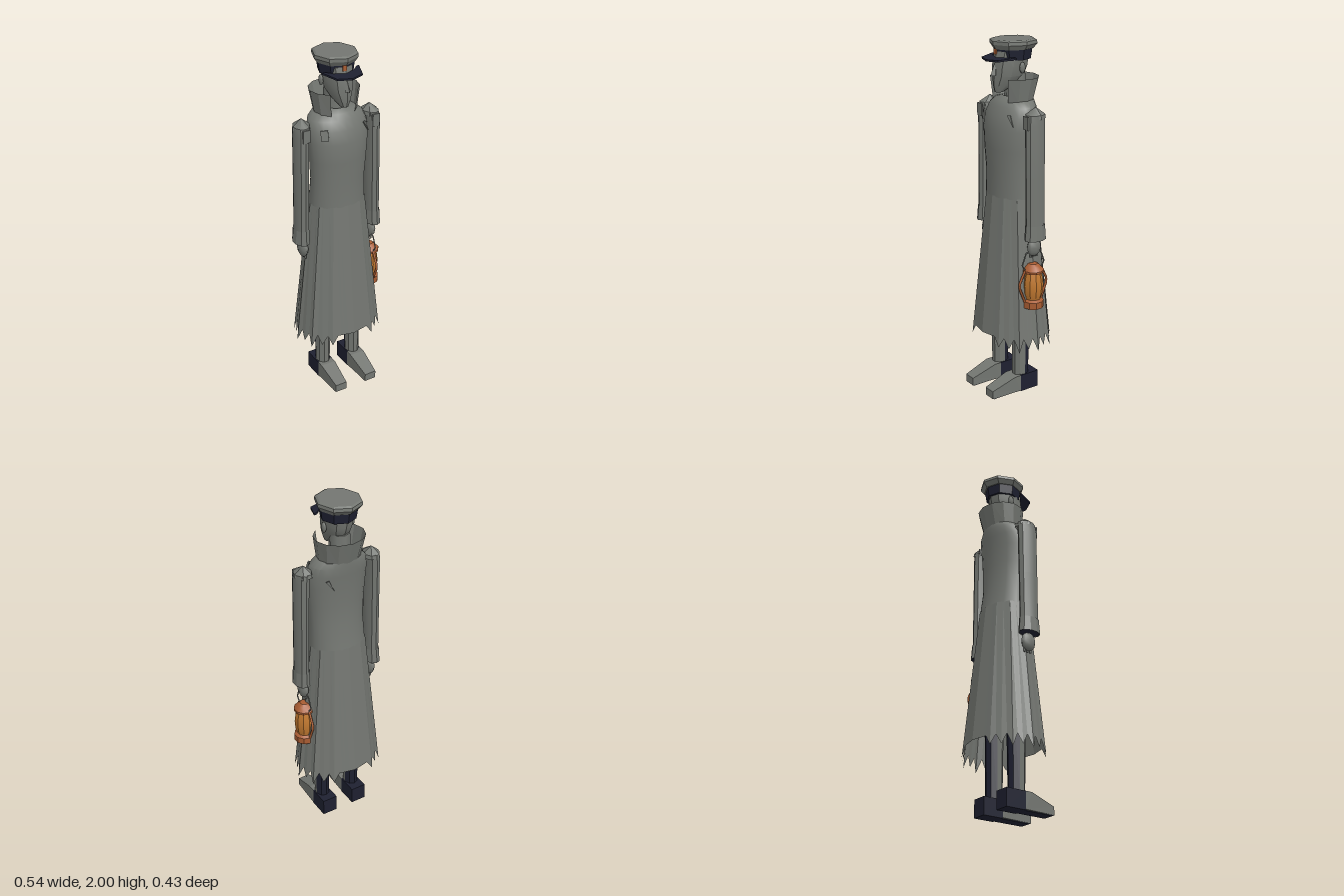
import * as THREE from 'three';
import { toCreasedNormals } from 'three/addons/utils/BufferGeometryUtils.js';

const material = (name, color) => {
  const m = new THREE.MeshStandardMaterial({ color, side: THREE.DoubleSide });
  m.name = name;
  return m;
};

// Skin over rings [y, halfWidth, zFront, zBack, xCentre]; angle 0 faces the front.
function loft(rings, { n = 8, sub = 1, from = 0, arc = Math.PI * 2, cap = false, crease = 0.02, edit } = {}) {
  if (cap) {
    const tip = ([y, , f, b, x]) => [y, 0, (f + b) / 2, (f + b) / 2, x];
    rings = [tip(rings[0]), ...rings, tip(rings[rings.length - 1])];
  }
  const pos = [], index = [], count = n * sub;
  rings.forEach(([y, rx, f, b, cx = 0], r) => {
    const corner = k => {
      const t = from + arc * k / n;
      return new THREE.Vector3(cx + rx * Math.sin(t), y, (f + b) / 2 + (f - b) / 2 * Math.cos(t));
    };
    for (let i = 0; i <= count; i++) {
      const k = Math.floor(i / sub);
      const p = corner(k).lerp(corner(k + 1), (i % sub) / sub);
      if (edit) edit(p, r, i);
      pos.push(p.x, p.y, p.z);
      if (r && i) {
        const d = r * (count + 1) + i, c = d - 1, b2 = d - count - 1, a = b2 - 1;
        index.push(a, b2, c, b2, d, c);
      }
    }
  });
  const g = new THREE.BufferGeometry();
  g.setAttribute('position', new THREE.Float32BufferAttribute(pos, 3));
  g.setIndex(index);
  return toCreasedNormals(g, crease);
}

export function createModel() {
  const root = new THREE.Group();
  root.name = 'coatedWatchman';
  const grey = material('greyCloth', 0x737671);
  const dark = material('darkNavy', 0x1e2030);
  const copper = material('copper', 0xa85c32);
  const amber = material('amberGlass', 0xc07830);

  const add = (name, geometry, mat, x = 0, y = 0, z = 0, parent = root) => {
    const m = new THREE.Mesh(geometry, mat);
    m.name = name;
    m.position.set(x, y, z);
    parent.add(m);
    return m;
  };

  // Coat body
  add('coatTorso', loft([
    [1.155, 0.163, 0.12, -0.125], [1.3, 0.157, 0.118, -0.103], [1.42, 0.165, 0.126, -0.102],
    [1.53, 0.174, 0.127, -0.106], [1.6, 0.174, 0.112, -0.113], [1.65, 0.16, 0.09, -0.118],
    [1.68, 0.125, 0.072, -0.118], [1.7, 0.05, 0.04, -0.06]
  ], { n: 24, crease: 0.7 }), grey);

  // Coat skirt with a torn hem, deepest at the sides
  add('coatSkirt', loft([[0.365, 0.25, 0.197, -0.205], [1.16, 0.166, 0.122, -0.128]], {
    n: 12, sub: 4, crease: 0.1,
    edit: (p, r, i) => {
      if (r > 0 || i % 2) return;
      const s = THREE.MathUtils.smoothstep(Math.abs(p.x), 0.06, 0.16) * (i % 4 ? 0.75 : 1);
      p.y -= 0.075 * s;
      p.x *= 1 + 0.05 * s;
      p.z *= 1 + 0.05 * s;
    }
  }), grey);

  // Standing collar, open at the front
  add('collar', loft([[1.675, 0.12, 0.085, -0.12], [1.8, 0.14, 0.1, -0.155]],
    { n: 10, from: 0.62, arc: Math.PI * 2 - 1.24 }), grey);

  // Chest patches and back tear
  const patch = add('chestPatch', new THREE.BoxGeometry(0.04, 0.056, 0.008), grey, -0.125, 1.588, 0.09);
  patch.rotation.set(-0.2, -0.55, 0);
  const triangle = new THREE.Shape([[-0.022, 0.025], [0.022, -0.03], [-0.005, 0.03]].map(p => new THREE.Vector2(...p)));
  const tear = new THREE.ExtrudeGeometry(triangle, { depth: 0.008, bevelEnabled: false });
  add('chestTear', tear, grey, 0.122, 1.59, 0.088).rotation.set(-0.2, 0.55, 0);
  add('backTear', tear, grey, 0.1, 1.56, -0.098).rotation.y = Math.PI - 0.4;

  // Neck, head and face
  add('neck', new THREE.CylinderGeometry(0.055, 0.06, 0.15, 8), grey, 0, 1.74, -0.03);
  add('head', loft([
    [1.725, 0.022, 0.1, 0.05], [1.76, 0.045, 0.108, -0.02], [1.81, 0.07, 0.106, -0.075],
    [1.86, 0.08, 0.106, -0.095], [1.94, 0.084, 0.09, -0.105]
  ], { n: 10, cap: true, crease: 0.6 }), grey);
  add('nose', loft([[1.815, 0.017, 0.13, 0.09], [1.87, 0.006, 0.107, 0.09]], { n: 4, cap: true }), grey);

  // Cap
  add('capBand', loft([[1.895, 0.094, 0.085, -0.112], [1.958, 0.102, 0.092, -0.122]], { cap: true }), dark);
  add('capCrown', loft([
    [1.95, 0.105, 0.095, -0.128], [1.975, 0.122, 0.113, -0.15], [1.993, 0.12, 0.113, -0.148], [2, 0.108, 0.1, -0.136]
  ], { cap: true }), grey);
  const peak = new THREE.Shape([
    [-0.11, -0.04], [-0.075, -0.135], [0, -0.16], [0.075, -0.135], [0.11, -0.04], [0.09, -0.045],
    [0.06, -0.075], [0, -0.085], [-0.06, -0.075], [-0.09, -0.045]
  ].map(p => new THREE.Vector2(...p)).reverse());
  const visor = new THREE.ExtrudeGeometry(peak, { depth: 0.01, bevelEnabled: false }).rotateX(-Math.PI / 2);
  add('visor', visor, dark, 0, 1.909, -0.002).rotation.x = 0.1;
  add('capBadge', new THREE.BoxGeometry(0.022, 0.03, 0.008), copper, -0.008, 1.938, 0.092);

  const sole = new THREE.BoxGeometry(0.084, 0.008, 0.3);
  const shoePart = (points, taper) => {
    const g = new THREE.ExtrudeGeometry(new THREE.Shape(points.map(p => new THREE.Vector2(...p))),
      { depth: 0.09, bevelEnabled: false }).translate(0, 0, -0.045).rotateY(-Math.PI / 2);
    const p = g.attributes.position;
    for (let i = 0; i < p.count; i++) if (p.getZ(i) > 0.1) p.setX(i, p.getX(i) * taper);
    g.computeVertexNormals();
    return g;
  };
  const toe = shoePart([[0.03, 0.004], [0.22, 0.004], [0.22, 0.05], [0.07, 0.1], [0.03, 0.1]], 0.78);
  const heel = shoePart([[-0.09, 0], [0.03, 0], [0.03, 0.1], [-0.09, 0.1]], 1);

  for (const s of [1, -1]) {
    const side = s > 0 ? 'left' : 'right';
    add(side + 'Ear', new THREE.SphereGeometry(0.03, 6, 5), grey, s * 0.085, 1.855, -0.015).scale.set(0.4, 1, 0.6);

    // Sleeve, shoulder tab, cuff and hand
    add(side + 'Sleeve', loft([
      [0.96, 0.038, 0.056, -0.056, s * 0.226], [1.3, 0.038, 0.058, -0.058, s * 0.222],
      [1.58, 0.04, 0.058, -0.06, s * 0.218], [1.63, 0.042, 0.05, -0.06, s * 0.213], [1.665, 0.003, -0.004, -0.01, s * 0.208]
    ], { n: 10, crease: 0.6 }), grey);
    add(side + 'ShoulderCap', loft([
      [1.61, 0.052, 0.045, -0.066, s * 0.208], [1.632, 0.048, 0.042, -0.062, s * 0.208], [1.668, 0.002, -0.008, -0.012, s * 0.208]
    ], { n: 6, from: Math.PI / 6 }), grey);
    add(side + 'ShoulderTab', new THREE.BoxGeometry(0.042, 0.07, 0.008), grey, s * 0.212, 1.59, 0.055);
    add(side + 'Cuff', loft([[0.945, 0.044, 0.066, -0.066, s * 0.228], [1.03, 0.041, 0.06, -0.06, s * 0.226]], { n: 10 }), grey);
    add(side + 'CuffLining', loft([[0.947, 0.041, 0.062, -0.062, s * 0.228], [0.98, 0, 0, 0, s * 0.226]], { n: 10 }), dark);
    add(side + 'Hand', new THREE.SphereGeometry(0.048, 8, 6), grey, s * 0.218, 0.9, 0).scale.set(0.55, 1.1, 0.95);
    for (let f = 0; f < 3; f++)
      add(side + 'Finger', new THREE.CylinderGeometry(0.008, 0.006, 0.05, 5), grey, s * 0.212, 0.865, (f - 1) * 0.02);

    // Trouser leg: grey in front, dark behind
    const leg = [[0.08, 0.04, 0.052, -0.045, s * 0.1], [0.6, 0.045, 0.06, -0.055, s * 0.1]];
    add(side + 'LegFront', loft(leg, { n: 5, from: -1.7, arc: 3.4 }), grey);
    add(side + 'LegBack', loft(leg, { n: 4, from: 1.7, arc: Math.PI * 2 - 3.4 }), dark);

    // Shoe
    add(side + 'ShoeToe', toe, grey, s * 0.1, 0, 0);
    add(side + 'ShoeHeel', heel, dark, s * 0.1, 0, 0);
    const under = add(side + 'Sole', sole, dark, s * 0.1, 0.004, 0.06);
    under.scale.x = 0.82;
  }

  // Lantern hanging from the left hand
  const lantern = new THREE.Group();
  lantern.name = 'lantern';
  lantern.position.set(0.212, 0, 0);
  root.add(lantern);
  const turned = (name, points, mat) => add(name,
    toCreasedNormals(new THREE.LatheGeometry(points.map(p => new THREE.Vector2(...p)), 10), 0.6), mat, 0, 0, 0, lantern);
  turned('lanternBase', [[0, 0.55], [0.06, 0.55], [0.06, 0.588], [0.045, 0.598], [0, 0.598]], copper);
  turned('lanternGlass', [[0.042, 0.595], [0.053, 0.63], [0.057, 0.68], [0.052, 0.72], [0.042, 0.76]], amber);
  turned('lanternLid', [[0.04, 0.752], [0.06, 0.755], [0.06, 0.768], [0.04, 0.79], [0.025, 0.803], [0, 0.805]], copper);
  const rod = (name, points, radius, mat) => {
    const path = new THREE.CurvePath();
    const v = points.map(([y, z]) => new THREE.Vector3(0, y, z));
    for (let i = 1; i < v.length; i++) path.add(new THREE.LineCurve3(v[i - 1], v[i]));
    add(name, new THREE.TubeGeometry(path, 18, radius, 6), mat, 0, 0, 0, lantern);
  };
  for (const s of [1, -1])
    rod('lanternGuard', [[0.585, s * 0.055], [0.67, s * 0.09], [0.7, s * 0.09], [0.77, s * 0.055]], 0.007, copper);
  rod('lanternHandle', [[0.775, 0.055], [0.8, 0.075], [0.865, 0.05], [0.885, 0], [0.865, -0.05], [0.8, -0.075], [0.775, -0.055]], 0.004, grey);

  return root;
}
